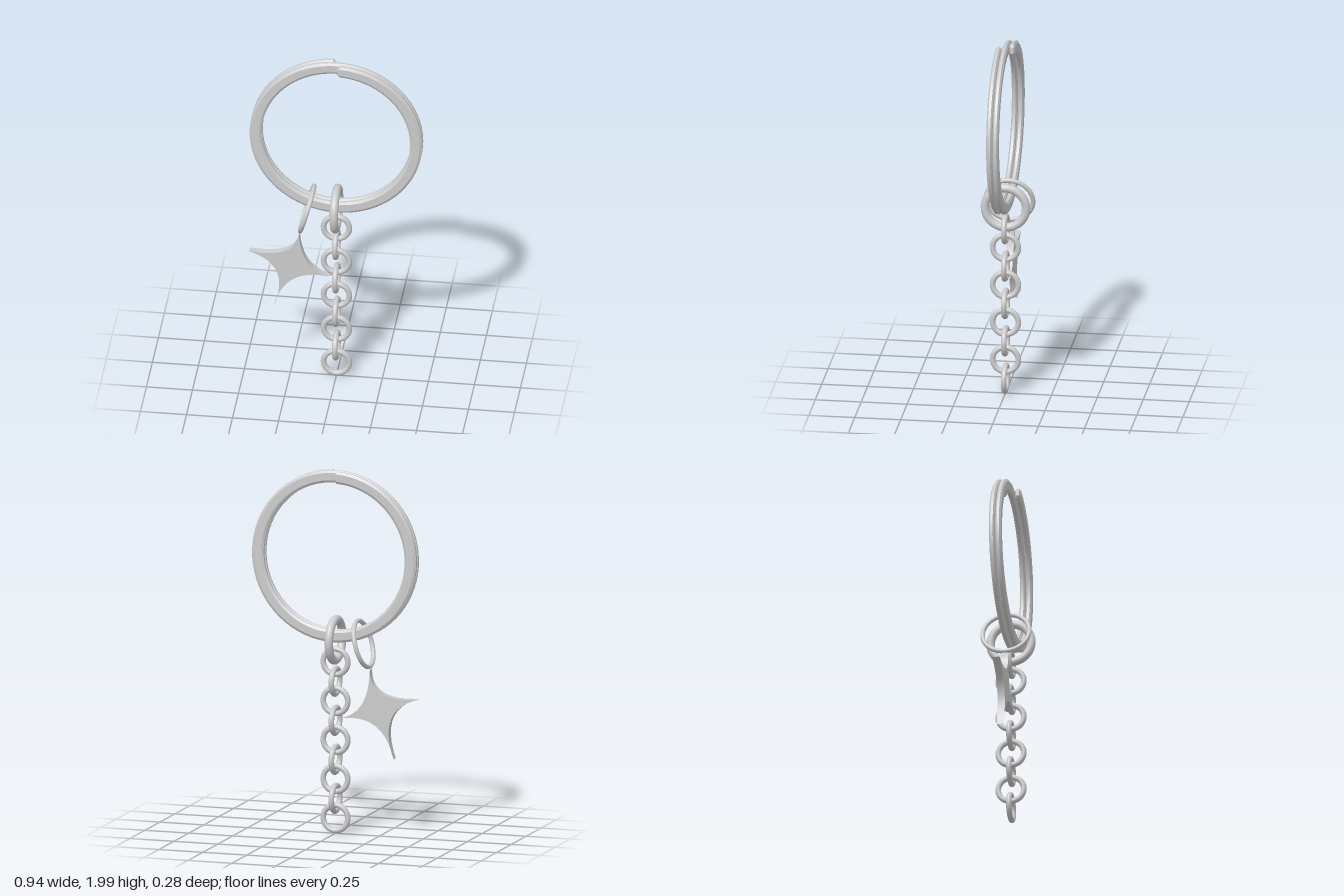
import * as THREE from 'three';
import { toCreasedNormals } from 'three/addons/utils/BufferGeometryUtils.js';

const material = new THREE.MeshStandardMaterial({ color: 0xcccccc });

function addMesh(parent, name, geometry) {
  const mesh = new THREE.Mesh(geometry, material);
  mesh.name = name;
  parent.add(mesh);
  return mesh;
}

// Two-turn coil with a bevelled flat section and tapered ends
function splitRingGeometry() {
  const section = [
    [0.033, -0.007], [0.033, 0.007], [0.02, 0.0155], [-0.02, 0.0155],
    [-0.033, 0.007], [-0.033, -0.007], [-0.02, -0.0155], [0.02, -0.0155],
  ];
  const n = section.length, radius = 0.437, gap = 0.02, pitch = 0.034;
  const start = gap / 2, end = 4 * Math.PI - gap;
  const angles = [start, start + 0.035];
  const steps = 144;
  for (let i = 1; i < steps; i++) angles.push(start + 0.035 + (end - start - 0.07) * i / steps);
  angles.push(end - 0.035, end);

  const positions = [], index = [];
  angles.forEach((t, i) => {
    const taper = i === 0 || i === angles.length - 1 ? 0.55 : 1;
    const z0 = (t / (2 * Math.PI) - 1) * pitch;
    for (const [r, z] of section) {
      const d = radius + r * taper;
      positions.push(-Math.sin(t) * d, Math.cos(t) * d, z0 + z * taper);
    }
    if (i === 0) return;
    for (let j = 0; j < n; j++) {
      const k = (j + 1) % n;
      const a = (i - 1) * n + j, b = (i - 1) * n + k, c = i * n + k, d = i * n + j;
      index.push(a, d, c, a, c, b);
    }
  });
  // End caps
  const last = (angles.length - 1) * n;
  for (let j = 1; j < n - 1; j++) {
    index.push(0, j, j + 1, last, last + j + 1, last + j);
  }
  const geometry = new THREE.BufferGeometry();
  geometry.setAttribute('position', new THREE.Float32BufferAttribute(positions, 3));
  geometry.setIndex(index);
  return toCreasedNormals(geometry, 0.4);
}

// Four-pointed star with concave sides
function starGeometry() {
  const shape = new THREE.Shape();
  shape.moveTo(-0.202, 0.922);
  shape.quadraticCurveTo(-0.193, 0.745, -0.474, 0.772);
  shape.quadraticCurveTo(-0.24, 0.707, -0.337, 0.437);
  shape.quadraticCurveTo(-0.278, 0.686, -0.04, 0.645);
  shape.quadraticCurveTo(-0.198, 0.688, -0.202, 0.922);
  const geometry = new THREE.ExtrudeGeometry(shape, { depth: 0.04, bevelEnabled: false, curveSegments: 16 });
  geometry.translate(0, 0, -0.02);
  return toCreasedNormals(geometry, 0.5);
}

export function createModel() {
  const model = new THREE.Group();
  model.name = 'keyring';

  const ring = addMesh(model, 'splitRing', splitRingGeometry());
  ring.position.y = 1.53;

  // Large link joining the chain to the split ring
  const connector = addMesh(model, 'connectorLink', new THREE.TorusGeometry(0.112, 0.023, 16, 48));
  connector.position.y = 1.07;
  connector.rotation.y = Math.PI / 2;

  // Chain of links, alternately turned a quarter
  const chain = new THREE.Group();
  chain.name = 'chain';
  model.add(chain);
  const linkGeometry = new THREE.TorusGeometry(0.07, 0.0155, 12, 36);
  for (let i = 0; i < 9; i++) {
    const link = addMesh(chain, 'chainLink' + (i + 1), linkGeometry);
    link.position.y = 0.95 - i * 0.107;
    link.rotation.y = i % 2 ? Math.PI / 2 : 0;
  }

  // Star charm hanging from a thin tilted ring
  const charm = new THREE.Group();
  charm.name = 'charm';
  model.add(charm);
  const jumpRing = addMesh(charm, 'charmRing', new THREE.TorusGeometry(0.128, 0.0125, 12, 48).rotateY(Math.PI / 2));
  jumpRing.position.set(-0.159, 1.058, 0);
  jumpRing.rotation.z = -0.275;
  addMesh(charm, 'star', starGeometry());

  return model;
}
